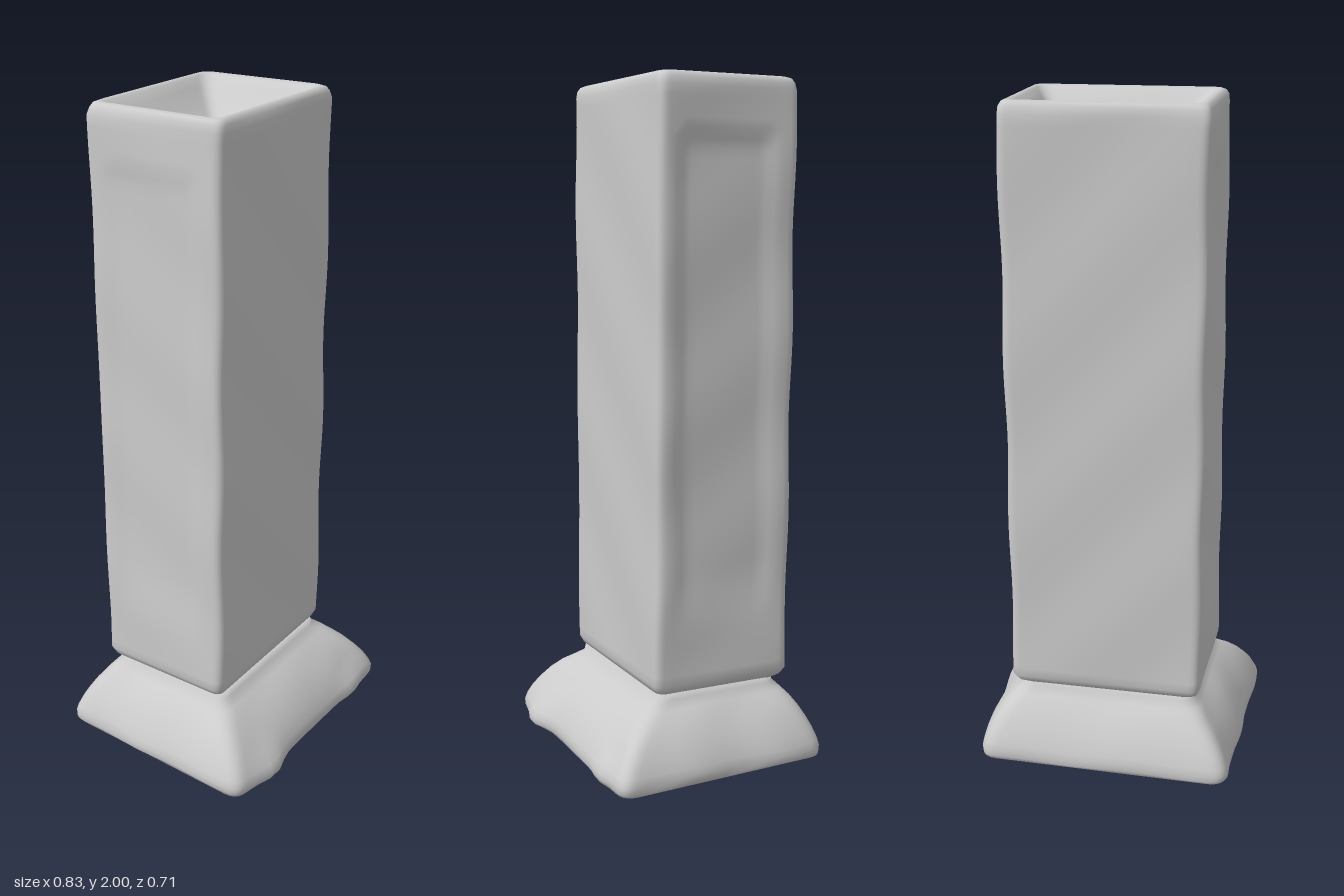
import * as THREE from 'three';

const SIDE = 16, ARC = 5;

// Rounded four-cornered ring; corners run counter-clockwise seen from above
function ring(corners, radius, y) {
  const points = [];
  const c = corners.map(([x, z]) => new THREE.Vector2(x, z));
  const toward = (a, b) => a.clone().add(b.clone().sub(a).setLength(radius));
  for (let i = 0; i < 4; i++) {
    const p = c[i], prev = c[(i + 3) % 4], next = c[(i + 1) % 4];
    const arc = new THREE.QuadraticBezierCurve(toward(p, prev), p, toward(p, next));
    points.push(...arc.getPoints(ARC));
    const from = toward(p, next), to = toward(next, p);
    for (let s = 1; s < SIDE; s++) points.push(from.clone().lerp(to, s / SIDE));
  }
  return points.map((p) => new THREE.Vector3(p.x, y, p.y));
}

// Skin a stack of rings, closing both ends; warp moves each vertex
function loft(rings, warp, name) {
  const n = rings[0].length, index = [], vertices = rings.flat();
  for (let r = 0; r < rings.length - 1; r++) {
    for (let i = 0; i < n; i++) {
      const a = r * n + i, b = r * n + (i + 1) % n;
      index.push(a, b, b + n, a, b + n, a + n);
    }
  }
  const centre = (points) => points
    .reduce((sum, p) => sum.add(p), new THREE.Vector3()).divideScalar(n);
  const low = vertices.length, high = low + 1, last = (rings.length - 1) * n;
  vertices.push(centre(rings[0]), centre(rings[rings.length - 1]));
  for (let i = 0; i < n; i++) {
    const j = (i + 1) % n;
    index.push(low, j, i, high, last + i, last + j);
  }
  vertices.forEach(warp);
  const geometry = new THREE.BufferGeometry().setFromPoints(vertices);
  geometry.setIndex(index);
  geometry.computeVertexNormals();
  const mesh = new THREE.Mesh(geometry, new THREE.MeshStandardMaterial({ color: 0xcccccc }));
  mesh.name = name;
  return mesh;
}

const SIGNS = [[-1, -1], [-1, 1], [1, 1], [1, -1]];
const inset = (corners, d) => corners.map(([x, z], i) => [x - SIGNS[i][0] * d, z - SIGNS[i][1] * d]);
const mix = (a, b, t) => a.map((p, i) => [0, 1].map((k) => p[k] + (b[i][k] - p[k]) * t));
const bump = (v, at, width) => Math.exp(-(((v - at) / width) ** 2));
const step = THREE.MathUtils.smoothstep;

// Tall block with softened edges and a dished top
function makeColumn() {
  const bottom = [[-0.295, -0.272], [-0.295, 0.168], [0.292, 0.162], [0.288, -0.278]];
  const top = [[-0.292, -0.277], [-0.288, 0.168], [0.301, 0.152], [0.282, -0.298]];
  const rings = [];
  const add = (y, d, radius) => rings.push(ring(inset(mix(bottom, top, (y - 0.22) / 1.78), d), radius, y));
  add(0.21, 0.08, 0.03);
  add(0.225, 0.03, 0.03);
  add(0.24, 0.01, 0.03);
  for (let i = 0; i <= 60; i++) add(0.26 + 1.7 * i / 60, 0, 0.03);
  // rounded rim
  add(1.98, 0.004, 0.03);
  add(1.992, 0.011, 0.03);
  add(1.997, 0.022, 0.035);
  add(1.992, 0.036, 0.04);
  // dish
  for (let i = 1; i <= 8; i++) {
    const t = i / 8;
    add(1.992 - 0.13 * Math.sin(t * Math.PI / 2), 0.036 + 0.165 * t, 0.04 - 0.025 * t);
  }
  return loft(rings, (p) => {
    // shallow sunken panels on both sides
    const panel = step(p.y, 0.4, 0.6) * (1 - step(p.y, 1.8, 1.85))
      * step(p.z, -0.23, -0.18) * (1 - step(p.z, 0.07, 0.1));
    if (p.x > 0.26) p.x -= 0.012 * panel;
    if (p.x < -0.26) p.x += 0.006 * panel;
    // gentle hand-worked unevenness
    if (p.y > 0.25 && p.y < 1.97) {
      p.x += 0.0025 * Math.sin(p.y * 13 + p.z * 9);
      p.z += 0.0025 * Math.sin(p.y * 11 + p.x * 12);
    }
  }, 'column');
}

// Flared plinth with bulging slopes
function makePlinth() {
  const foot = [[-0.39, -0.358], [-0.418, 0.325], [0.412, 0.328], [0.38, -0.358]];
  const neck = [[-0.27, -0.245], [-0.275, 0.16], [0.275, 0.155], [0.265, -0.25]];
  const profile = [ // height, flare from neck to foot, corner radius
    [0.01, 0.9, 0.05], [0.012, 0.965, 0.05], [0.022, 0.995, 0.05], [0.04, 1, 0.05],
    [0.06, 0.96, 0.05], [0.09, 0.86, 0.05], [0.12, 0.73, 0.05], [0.15, 0.58, 0.05],
    [0.18, 0.39, 0.05], [0.205, 0.2, 0.05], [0.225, 0.03, 0.05], [0.25, 0, 0.05],
  ];
  const rings = profile.map(([y, t, radius]) => ring(mix(neck, foot, t), radius, y));
  return loft(rings, (p) => {
    const low = 1 - step(p.y, 0.03, 0.14);
    // lumpy front lip
    if (p.z > 0.26) p.z += low * (0.028 * bump(p.x, -0.25, 0.07) + 0.012 * bump(p.x, 0.25, 0.05) - 0.004);
    if (p.y > 0.02 && p.y < 0.2) {
      p.x += 0.004 * Math.sin(p.z * 22);
      p.y += 0.003 * Math.sin(p.x * 17 + p.z * 8);
    }
    // dents in the front slope
    if (p.z > 0.15) p.z -= 0.012 * bump(p.y, 0.1, 0.04) * bump(p.x, 0.27, 0.06);
    p.y = Math.max(p.y - 0.01, 0);
  }, 'plinth');
}

export function createModel() {
  const model = new THREE.Group();
  model.name = 'pillar';
  model.add(makePlinth(), makeColumn());
  return model;
}
